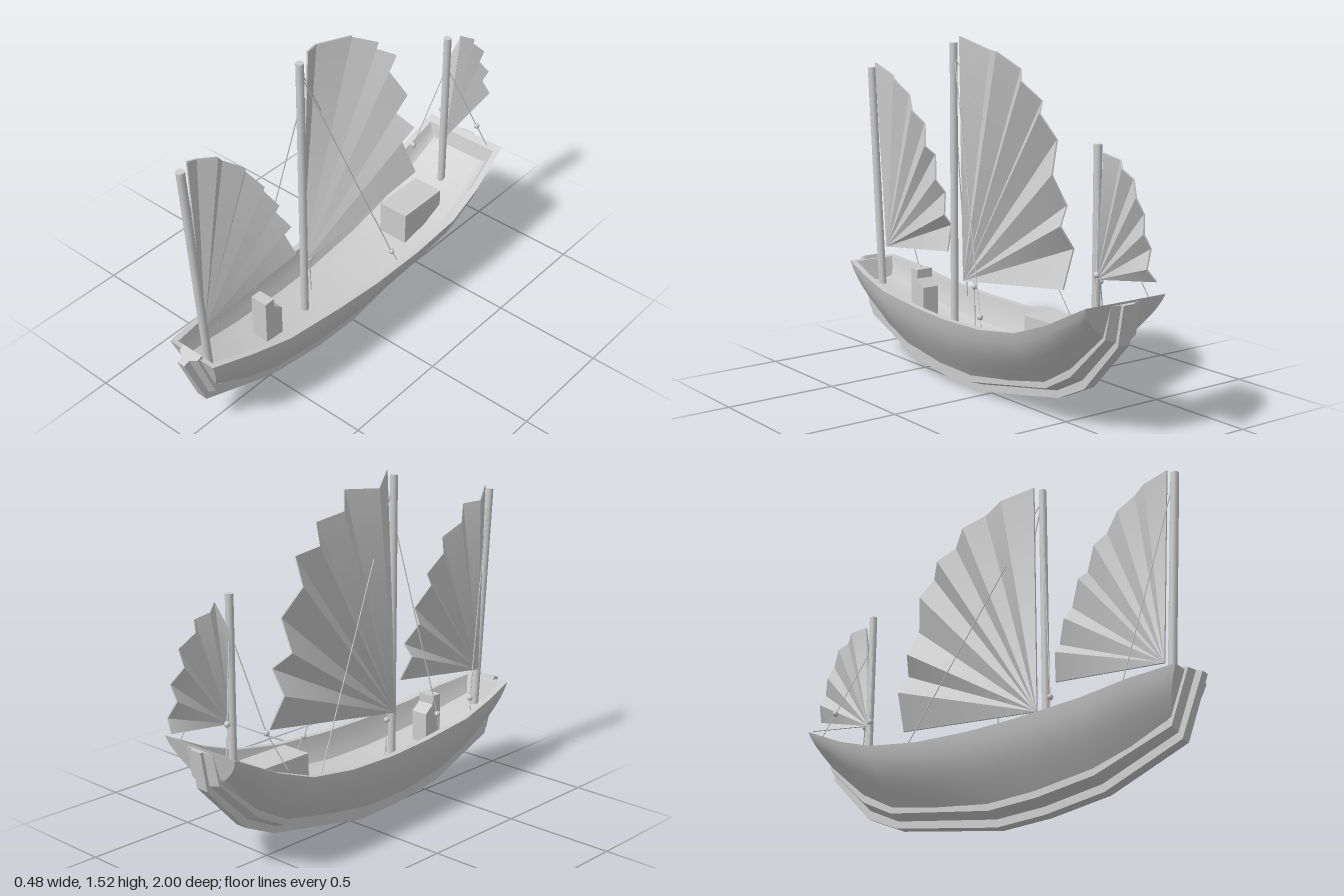
import * as THREE from 'three';
import { toCreasedNormals } from 'three/addons/utils/BufferGeometryUtils.js';

const V = (x, y, z) => new THREE.Vector3(x, y, z);
const lerp = THREE.MathUtils.lerp;
const material = new THREE.MeshStandardMaterial({ color: 0xcccccc, side: THREE.DoubleSide });

function add(parent, name, geometry) {
  const mesh = new THREE.Mesh(geometry, material);
  mesh.name = name;
  parent.add(mesh);
  return mesh;
}

function fromTriangles(points, index, crease) {
  const g = new THREE.BufferGeometry().setFromPoints(points);
  g.setIndex(index);
  return toCreasedNormals(g, crease);
}

// Skin a row of closed rings, with end caps
function loft(rings, crease = 0.6) {
  const n = rings[0].length, index = [];
  for (let i = 0; i < rings.length - 1; i++) {
    for (let j = 0; j < n; j++) {
      const a = i * n + j, b = i * n + (j + 1) % n;
      index.push(a, b, a + n, b, b + n, a + n);
    }
  }
  const flat = rings[0].map((p) => new THREE.Vector2(p.x, p.y));
  const last = (rings.length - 1) * n;
  for (const [a, b, c] of THREE.ShapeUtils.triangulateShape(flat, [])) {
    index.push(a, c, b, last + a, last + b, last + c);
  }
  return fromTriangles(rings.flat(), index, crease);
}

// Complete a half section by mirroring it across x = 0
const mirrorRing = (half) => [...half, ...half.map((p) => V(-p.x, p.y, p.z)).reverse()];

// Hull stations: keel z, keel y, keel half width, rim z, rim y, rim half width
const stations = [
  [0.87, 0.25, 0.05, 0.94, 0.44, 0.12],
  [0.70, 0.175, 0.065, 0.75, 0.41, 0.165],
  [0.53, 0.12, 0.075, 0.56, 0.375, 0.19],
  [0.27, 0.085, 0.08, 0.27, 0.355, 0.207],
  [0.04, 0.08, 0.08, 0.04, 0.35, 0.22],
  [-0.22, 0.12, 0.08, -0.22, 0.362, 0.23],
  [-0.46, 0.17, 0.08, -0.46, 0.40, 0.24],
  [-0.62, 0.26, 0.08, -0.64, 0.465, 0.23],
  [-0.81, 0.43, 0.08, -0.85, 0.57, 0.205],
];

// Point on the side of a station: v = 0 at the keel, 1 at the rim
function sidePoint([kz, ky, kw, rz, ry, rw], v, inset = 0) {
  const bulge = Math.sin(v * Math.PI * 0.5) * 0.75 + v * 0.25;
  return V(lerp(kw, rw, bulge) - inset, lerp(ky, ry, v), lerp(kz, rz, v));
}
const levels = [0, 0.15, 0.3, 0.45, 0.6, 0.8, 1];
const outline = (s) => mirrorRing(levels.map((v) => sidePoint(s, v)));

function buildHull(group) {
  const rings = stations.map((s) => mirrorRing([
    ...levels.map((v) => sidePoint(s, v)),
    ...[1, 0.85, 0.7, 0.58].map((v) => sidePoint(s, v, 0.028)),
    sidePoint(s, 0.53, 0.06),
  ]));
  add(group, 'hull', loft(rings, 0.7));

  // Boards closing the bow and stern
  const board = (a, b, t) => loft([outline(a), outline(a.map((n, i) => lerp(n, b[i], t)))], 0.4);
  add(group, 'bowBoard', board(stations[0], stations[1], 0.12));
  add(group, 'sternBoard', board(stations[8], stations[7], 0.15));

  // Stepped keel, running up into stem and sternpost:
  // inner z, inner y, outer z, outer y, plank half width, keel half width
  const keel = [
    [0.93, 0.455, 1.0, 0.43, 0.05, 0.02],
    [0.86, 0.25, 0.9, 0.175, 0.056, 0.024],
    [0.53, 0.125, 0.55, 0.04, 0.077, 0.025],
    [0.27, 0.09, 0.27, 0.005, 0.083, 0.025],
    [0.04, 0.085, 0.04, 0, 0.083, 0.025],
    [-0.46, 0.175, -0.48, 0.1, 0.083, 0.025],
    [-0.61, 0.26, -0.64, 0.175, 0.083, 0.026],
    [-0.81, 0.44, -0.84, 0.39, 0.08, 0.03],
    [-0.835, 0.56, -0.87, 0.56, 0.075, 0.03],
  ];
  add(group, 'keel', loft(keel.map(([iz, iy, oz, oy, pw, kw]) => mirrorRing(
    [[kw, 1], [kw, 0.6], [pw, 0.36], [pw, 0]].map(([x, f]) => V(x, lerp(iy, oy, f), lerp(iz, oz, f))),
  )), 0.2));
}

function rod(group, name, a, b, radius, sides) {
  const mesh = add(group, name, new THREE.CylinderGeometry(radius, radius, a.distanceTo(b), sides));
  mesh.position.copy(a).lerp(b, 0.5);
  mesh.quaternion.setFromUnitVectors(V(0, 1, 0), b.clone().sub(a).normalize());
}

// Pleated fan sail: foot and edge points as [z, y], folds alternating between x0 and x1
function sail(group, name, foot, edge, x0, x1) {
  const half = 0.004, n = edge.length, pts = [], index = [];
  for (const dx of [half, -half]) {
    pts.push(V((x0 + x1) / 2 + dx, foot[1], foot[0]));
    edge.forEach(([z, y], i) => pts.push(V((i % 2 ? x1 : x0) + dx, y, z)));
  }
  const m = n + 1;
  for (let i = 1; i < n; i++) index.push(0, i, i + 1, m, m + i + 1, m + i);
  for (let i = 0; i < m; i++) {
    const j = (i + 1) % m;
    index.push(i, m + i, j, j, m + i, m + j);
  }
  add(group, name, fromTriangles(pts, index, 0.9));
}

// Rope through a list of points, with a round block at the chosen one
function rope(group, points, block) {
  const g = new THREE.Group();
  g.name = 'rigging';
  group.add(g);
  const path = points.map((p) => V(...p));
  for (let i = 0; i < path.length - 1; i++) rod(g, 'rope', path[i], path[i + 1], 0.0025, 6);
  if (block !== undefined) {
    add(g, 'block', new THREE.SphereGeometry(0.013, 12, 8)).position.copy(path[block]);
  }
}

export function createModel() {
  const model = new THREE.Group();
  model.name = 'sailingBoat';
  buildHull(model);

  // Masts
  rod(model, 'foreMast', V(0, 0.33, 0.85), V(0, 1.34, 0.92), 0.018, 16);
  rod(model, 'mainMast', V(0, 0.2, 0.27), V(0, 1.49, 0.27), 0.017, 16);
  rod(model, 'mizzenMast', V(0, 0.36, -0.675), V(0, 1.155, -0.675), 0.017, 16);

  // Sails
  sail(model, 'foreSail', [0.84, 0.505], [
    [0.885, 1.365], [0.80, 1.31], [0.73, 1.30], [0.67, 1.23], [0.59, 1.17], [0.55, 1.11], [0.49, 1.02],
    [0.47, 0.98], [0.41, 0.88], [0.395, 0.82], [0.345, 0.73], [0.35, 0.68], [0.32, 0.57],
  ], 0, -0.042);
  sail(model, 'mainSail', [0.25, 0.445], [
    [0.225, 1.52], [0.10, 1.465], [-0.035, 1.47], [-0.11, 1.40], [-0.20, 1.36], [-0.25, 1.28], [-0.32, 1.24],
    [-0.345, 1.13], [-0.40, 1.0], [-0.41, 0.87], [-0.455, 0.80], [-0.455, 0.70], [-0.475, 0.545],
  ], 0, -0.07);
  sail(model, 'mizzenSail', [-0.685, 0.625], [
    [-0.685, 1.0], [-0.735, 1.13], [-0.79, 1.105], [-0.84, 1.08], [-0.865, 1.04], [-0.92, 0.98],
    [-0.925, 0.915], [-0.965, 0.85], [-0.965, 0.79], [-0.985, 0.72], [-1.0, 0.67],
  ], -0.015, 0.022);

  // Cabin
  add(model, 'cabin', new THREE.BoxGeometry(0.145, 0.2, 0.25)).position.set(0.003, 0.32, -0.445);

  // Small deck house with a sloping front step, profile in z and y
  const profile = new THREE.Shape([[0.55, 0.24], [0.55, 0.46], [0.5, 0.46], [0.5, 0.42], [0.455, 0.385], [0.455, 0.24]]
    .map(([z, y]) => new THREE.Vector2(z, y)));
  const house = new THREE.ExtrudeGeometry(profile, { depth: 0.08, bevelEnabled: false });
  add(model, 'deckHouse', house.translate(0, 0, -0.04).rotateY(-Math.PI / 2));

  // Rigging
  rope(model, [[0, 1.42, 0.26], [0.155, 0.385, -0.125], [0.168, 0.33, -0.15]], 1);
  rope(model, [[0, 1.42, 0.25], [-0.165, 0.36, -0.345]]);
  rope(model, [[0, 1.3, 0.27], [-0.155, 0.43, 0.395], [-0.165, 0.33, 0.4]], 1);
  rope(model, [[-0.045, 0.46, 0.185], [-0.045, 0.43, 0.185], [-0.045, 0.25, 0.18]], 1);
  rope(model, [[0, 1.3, 0.91], [-0.1, 0.42, 0.69], [-0.115, 0.34, 0.68]], 1);
  rope(model, [[0, 1.0, -0.675], [-0.1, 0.585, -0.585], [-0.165, 0.43, -0.53]], 1);
  for (const s of [1, -1]) {
    rope(model, [[0, 1.0, -0.68], [s * 0.1, 0.675, -0.79], [s * 0.135, 0.56, -0.83]], 1);
  }
  return model;
}
